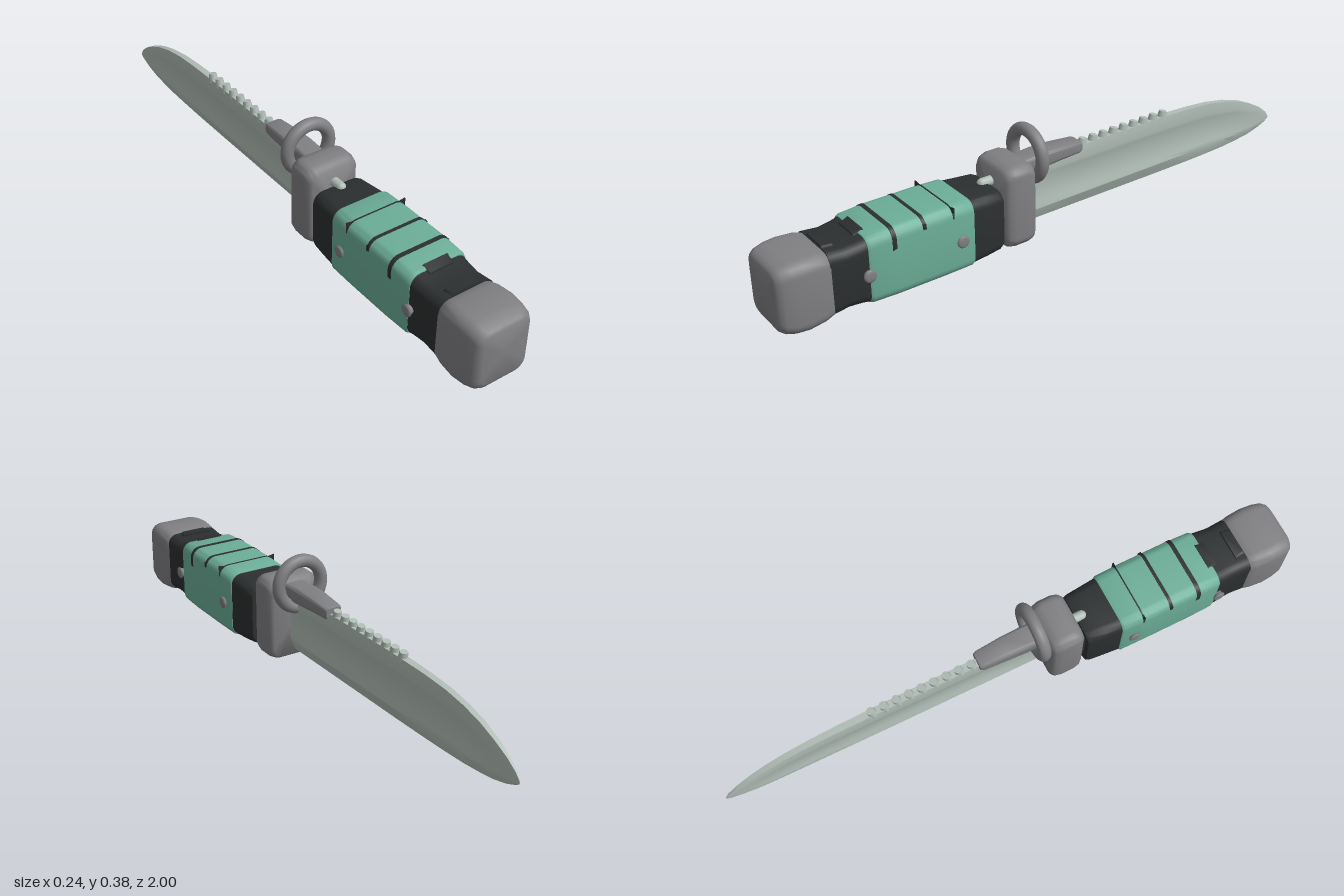
import * as THREE from 'three';
import { toCreasedNormals } from 'three/addons/utils/BufferGeometryUtils.js';

const mat = (color) => new THREE.MeshStandardMaterial({ color });

// Skin a list of closed rings (counter-clockwise seen from +z, z increasing) and cap both ends
function loft(rings, crease = 0.6) {
  const n = rings[0].length, pos = [], idx = [];
  rings.forEach((r) => r.forEach((p) => pos.push(p.x, p.y, p.z)));
  for (let i = 0; i < rings.length - 1; i++) {
    for (let j = 0; j < n; j++) {
      const a = i * n + j, b = i * n + (j + 1) % n;
      idx.push(a, b, b + n, a, b + n, a + n);
    }
  }
  [[0, true], [rings.length - 1, false]].forEach(([i, flip]) => {
    const c = rings[i].reduce((s, p) => s.add(p), new THREE.Vector3()).divideScalar(n);
    const k = pos.length / 3;
    pos.push(c.x, c.y, c.z);
    for (let j = 0; j < n; j++) {
      const a = i * n + j, b = i * n + (j + 1) % n;
      flip ? idx.push(k, b, a) : idx.push(k, a, b);
    }
  });
  const g = new THREE.BufferGeometry();
  g.setAttribute('position', new THREE.Float32BufferAttribute(pos, 3));
  g.setIndex(idx);
  return toCreasedNormals(g, crease);
}

// Rounded rectangle ring: [z, half width, bottom, top, corner radius]
function roundRect([z, w, y0, y1, r]) {
  const pts = [], seg = 6;
  [[1, 1], [-1, 1], [-1, -1], [1, -1]].forEach(([sx, sy], q) => {
    const cx = sx * (w - r), cy = sy > 0 ? y1 - r : y0 + r;
    for (let k = 0; k <= seg; k++) {
      const a = (q + k / seg) * Math.PI / 2;
      pts.push(new THREE.Vector3(cx + r * Math.cos(a), cy + r * Math.sin(a), z));
    }
  });
  return pts;
}
const body = (sections, crease) => loft(sections.map(roundRect), crease);

// Fullered blade ring: [z, edge y, spine y, half thickness, groove depth]
const bladeProfile = [[0.2, 1, 0], [0.27, 1, 0.3], [0.36, 1, 0.85], [0.5, 1, 1],
  [0.64, 1, 0.85], [0.74, 1, 0.3], [0.8, 1, 0], [1, 0.75, 0]];
function bladeRing([z, y0, y1, t, groove]) {
  const side = (s) => bladeProfile.map(([h, w, g]) =>
    new THREE.Vector3(s * t * w * (1 - groove * g), y0 + h * (y1 - y0), z));
  return [new THREE.Vector3(0, y0, z), ...side(1), ...side(-1).reverse()];
}

export function createModel() {
  const root = new THREE.Group();
  const steel = mat(0x808083), bright = mat(0xb0bdb6), green = mat(0x6cae98), black = mat(0x2c2f30);
  const add = (name, geometry, material, x = 0, y = 0, z = 0) => {
    const m = new THREE.Mesh(geometry, material);
    m.name = name;
    m.position.set(x, y, z);
    root.add(m);
    return m;
  };

  // Blade, tip at -z
  add('blade', loft([
    [-1, 0.092, 0.1, 0.001, 0], [-0.985, 0.082, 0.122, 0.004, 0],
    [-0.95, 0.068, 0.15, 0.007, 0], [-0.9, 0.055, 0.178, 0.01, 0.1],
    [-0.84, 0.047, 0.204, 0.012, 0.3], [-0.77, 0.041, 0.224, 0.013, 0.45],
    [-0.69, 0.038, 0.238, 0.014, 0.5], [-0.6, 0.036, 0.245, 0.015, 0.5],
    [-0.45, 0.035, 0.25, 0.017, 0.5], [-0.1, 0.035, 0.25, 0.019, 0.5],
    [0.06, 0.035, 0.25, 0.02, 0.4], [0.14, 0.035, 0.25, 0.02, 0],
  ].map(bladeRing), 0.5), bright);

  // Saw teeth along the spine
  for (let i = 0; i < 9; i++) {
    const tooth = add('sawTooth', new THREE.CylinderGeometry(0.013, 0.017, 0.03, 10), bright,
      0, 0.252, -0.135 - i * 0.043);
    tooth.rotation.x = -0.2;
  }

  // Tapered block carrying the muzzle ring
  add('ringBlock', body([
    [-0.115, 0.027, 0.236, 0.268, 0.008], [-0.105, 0.031, 0.232, 0.272, 0.01],
    [-0.02, 0.036, 0.23, 0.279, 0.012], [0.05, 0.038, 0.225, 0.28, 0.012],
    [0.13, 0.038, 0.225, 0.275, 0.012],
  ]), steel);
  add('muzzleRing', new THREE.TorusGeometry(0.079, 0.0215, 16, 48), steel, 0, 0.28, 0.083);

  // Cross guard
  add('guard', body([
    [0.112, 0.08, 0.022, 0.272, 0.03], [0.122, 0.09, 0.014, 0.282, 0.035],
    [0.145, 0.094, 0.01, 0.29, 0.035], [0.19, 0.094, 0.01, 0.29, 0.035],
    [0.212, 0.09, 0.014, 0.284, 0.035], [0.224, 0.08, 0.024, 0.272, 0.03],
  ], 0.9), steel);
  add('tang', body([[0.2, 0.07, 0.05, 0.2, 0.02], [0.26, 0.07, 0.05, 0.2, 0.02]]), black);

  // Release button behind the guard
  const button = add('releaseButton', new THREE.CapsuleGeometry(0.016, 0.035, 6, 14), bright, 0, 0.228, 0.24);
  button.rotation.x = Math.PI / 2;

  // Black grip collars
  add('frontCollar', body([
    [0.238, 0.09, 0.026, 0.224, 0.035], [0.25, 0.094, 0.02, 0.229, 0.035],
    [0.3, 0.098, 0.016, 0.232, 0.035], [0.37, 0.103, 0.013, 0.237, 0.035],
  ]), black);
  add('rearCollar', body([
    [0.7, 0.102, 0.014, 0.236, 0.035], [0.735, 0.1, 0.02, 0.228, 0.035],
    [0.78, 0.097, 0.022, 0.223, 0.035], [0.835, 0.099, 0.016, 0.228, 0.035],
  ]), black);

  // Green grip
  const gripSections = [
    [0.355, 0.103, 0.013, 0.238, 0.035], [0.362, 0.107, 0.011, 0.241, 0.036],
    [0.45, 0.108, 0.01, 0.244, 0.036], [0.62, 0.108, 0.01, 0.244, 0.036],
    [0.705, 0.106, 0.012, 0.24, 0.036], [0.715, 0.102, 0.015, 0.236, 0.035],
  ];
  add('grip', body(gripSections), green);

  // Dark wear lines across the top: [z, half thickness, lower limit]
  [[0.632, 0.007, 0.15], [0.53, 0.0055, 0.19], [0.43, 0.002, 0.21]].forEach(([z, h, low]) =>
    add('wearLine', body([z - h, z + h].map((q) => [q, 0.1088, low, 0.2452, 0.036])), black));

  // Ragged tape edges, lapping onto grip and pommel
  add('tapeLap', body([[0.8, 0.055, 0.2, 0.233, 0.01], [0.832, 0.05, 0.2, 0.233, 0.01]]), black);
  add('tapeTongue', body([[0.698, 0.05, 0.2, 0.2435, 0.01], [0.73, 0.045, 0.2, 0.234, 0.01]]), black);

  // Rivets on both sides, with flared heads
  const rivet = new THREE.LatheGeometry([[0, 0.118], [0.014, 0.118], [0.02, 0.115], [0.02, 0.111],
    [0.015, 0.106], [0.015, 0.09]].reverse().map(([r, y]) => new THREE.Vector2(r, y)), 20);
  for (const z of [0.403, 0.72]) {
    for (const s of [1, -1]) {
      add(s > 0 ? 'leftRivet' : 'rightRivet', rivet, steel, 0, 0.124, z).rotation.z = -s * Math.PI / 2;
    }
  }

  // Pommel
  add('pommel', body([
    [0.82, 0.09, 0.022, 0.216, 0.035], [0.828, 0.098, 0.014, 0.223, 0.038],
    [0.86, 0.104, 0.005, 0.231, 0.04], [0.91, 0.107, 0, 0.234, 0.04],
    [0.95, 0.104, 0.002, 0.232, 0.04], [0.98, 0.098, 0.01, 0.226, 0.038],
    [0.994, 0.089, 0.02, 0.218, 0.035], [1, 0.077, 0.032, 0.208, 0.03],
  ], 0.9), steel);

  return root;
}
